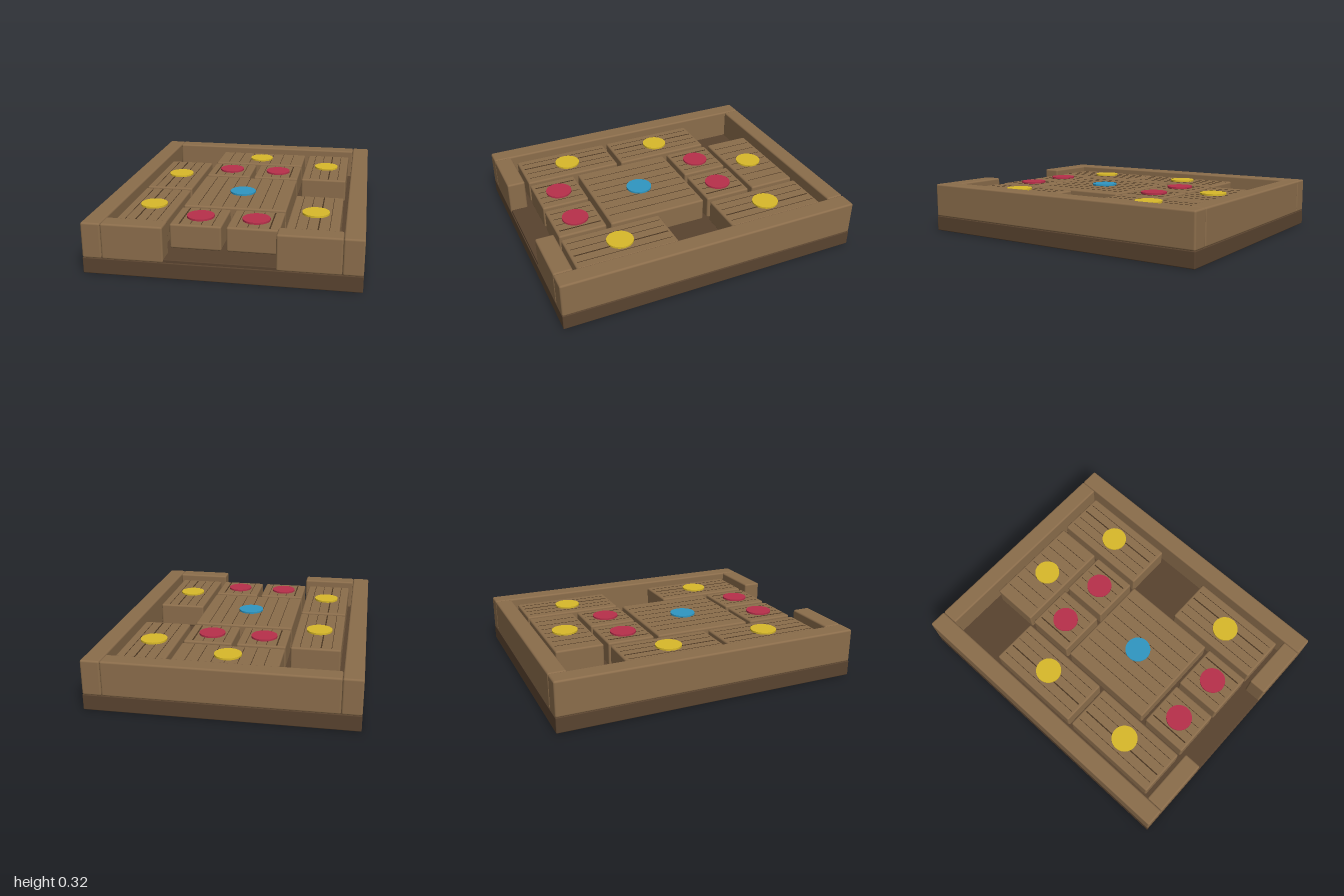
import * as THREE from 'three';
import { RoundedBoxGeometry } from 'three/addons/geometries/RoundedBoxGeometry.js';

const material = (color) => new THREE.MeshStandardMaterial({ color });

export function createModel() {
  const group = new THREE.Group();
  const wood = material(0x8b6d4b);
  const darkWood = material(0x59432f);
  const grain = material(0x4a3622);
  const yellow = material(0xd9b92a);
  const red = material(0xb8304b);
  const blue = material(0x3097c2);

  // Softly rounded box given by its limits on each axis
  function slab(name, [x0, x1], [y0, y1], [z0, z1], mat, radius, parent = group) {
    const geometry = new RoundedBoxGeometry(x1 - x0, y1 - y0, z1 - z0, 2, radius);
    const mesh = new THREE.Mesh(geometry, mat);
    mesh.position.set((x0 + x1) / 2, (y0 + y1) / 2, (z0 + z1) / 2);
    mesh.name = name;
    parent.add(mesh);
    return mesh;
  }

  // Tray: base, raised floor and walls with an exit gap at the front
  slab('base', [-0.825, 0.825], [0, 0.1], [-1, 1], darkWood, 0.006);
  slab('floor', [-0.715, 0.715], [0.09, 0.118], [-0.9, 0.994], darkWood, 0.004);
  const wallY = [0.097, 0.32];
  slab('backWall', [-0.705, 0.705], wallY, [-1, -0.885], wood, 0.012);
  for (const [side, s] of [['left', 1], ['right', -1]]) {
    const span = (a, b) => (s > 0 ? [a, b] : [-b, -a]);
    slab(side + 'Wall', span(0.705, 0.825), wallY, [-1, 1], wood, 0.012);
    slab(side + 'FrontWall', span(0.33, 0.705), wallY, [0.88, 1], wood, 0.012);
  }

  // Sliding blocks on a 4 x 5 grid of cells
  const pitch = 0.345, gap = 0.03, bottom = 0.13, top = 0.285;
  const discGeometry = new THREE.CylinderGeometry(0.085, 0.085, 0.014, 40);

  function block(name, column, row, columns, rows, discMaterial, darkLine) {
    const piece = new THREE.Group();
    piece.name = name;
    piece.position.set((column + columns / 2 - 2) * pitch, 0, (row + rows / 2 - 2.5) * pitch);
    group.add(piece);
    const w = columns * pitch - gap, d = rows * pitch - gap;
    slab('blockBody', [-w / 2, w / 2], [bottom, top], [-d / 2, d / 2], wood, 0.012, piece);

    // Fine grain lines along the top, one of them wider
    const count = columns === 1 ? 4 : 7;
    for (let i = 0; i < count; i++) {
      const step = columns === 1 ? 0.066 : 0.08;
      const x = (i - (count - 1) / 2) * step;
      const width = i === darkLine ? 0.008 : 0.003;
      const line = new THREE.Mesh(new THREE.BoxGeometry(width, 0.003, d - 0.04), grain);
      line.position.set(x, top, 0);
      line.name = 'grainLine';
      piece.add(line);
    }

    const disc = new THREE.Mesh(discGeometry, discMaterial);
    disc.position.y = top + 0.005;
    disc.name = 'colourDisc';
    piece.add(disc);
  }

  block('wideBlock', 1, 0, 2, 1, yellow, -1);
  block('largeBlock', 1, 2, 2, 2, blue, -1);
  block('tallBlockRightRear', 0, 1, 1, 2, yellow, 1);
  block('tallBlockRightFront', 0, 3, 1, 2, yellow, 1);
  block('tallBlockLeftRear', 3, 0, 1, 2, yellow, 2);
  block('tallBlockLeftFront', 3, 3, 1, 2, yellow, 2);
  for (const row of [1, 4]) {
    block('smallBlockRight', 1, row, 1, 1, red, 0);
    block('smallBlockLeft', 2, row, 1, 1, red, 3);
  }
  return group;
}
